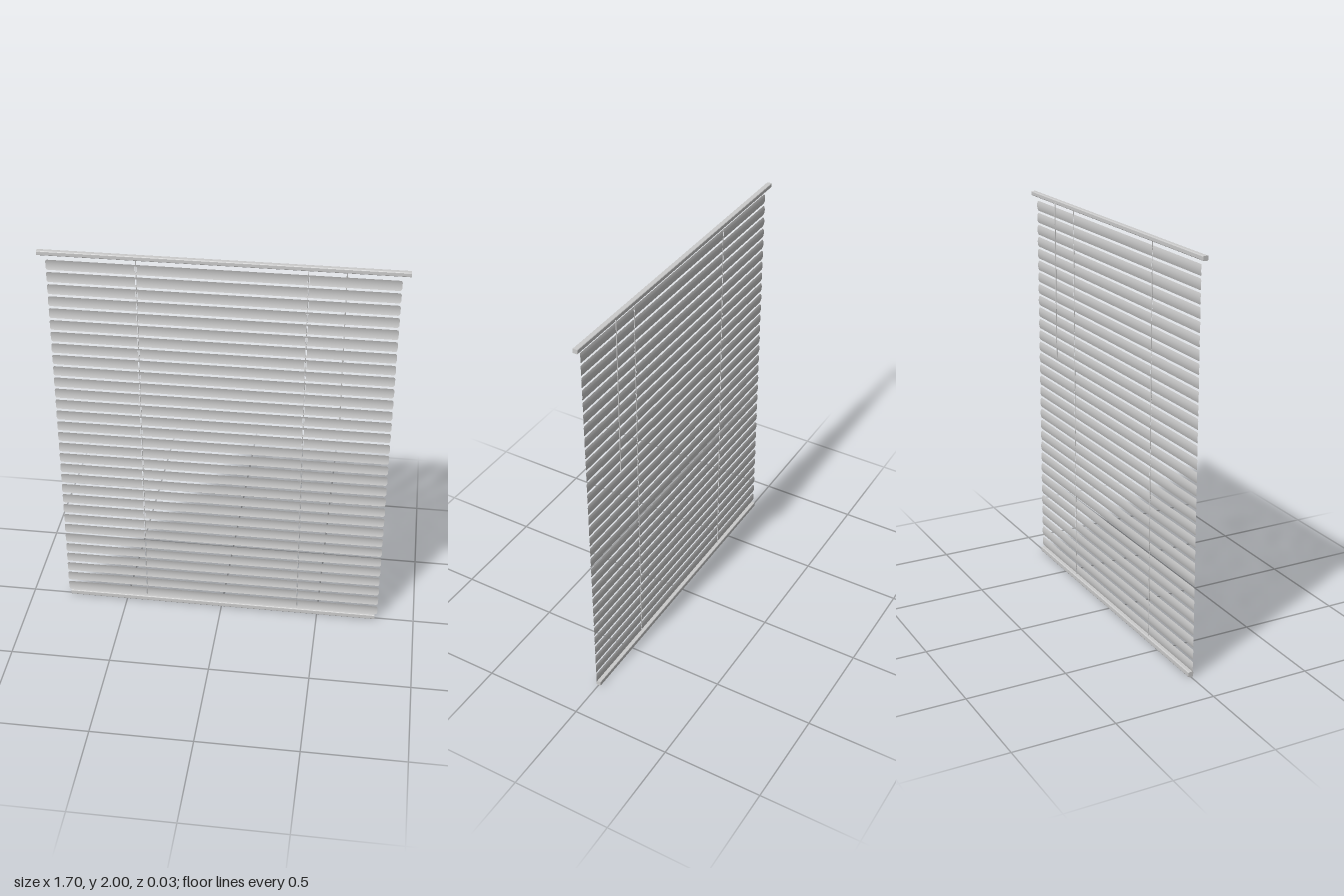
import * as THREE from 'three';

const material = new THREE.MeshStandardMaterial({ color: 0xcccccc });
const thin = new THREE.MeshStandardMaterial({ color: 0xcccccc, side: THREE.DoubleSide });

const SLATS = 31, PITCH = 0.0625, FIRST_Y = 0.055;
const HALF_W = 0.813, HALF_H = 0.0255, CORNER = 0.01, BOW = 0.004;
const CORD_X = 0.394, SLOT = 0.004;

// Curved thin strip with rounded corners and two cord slots
function slatGeometry() {
  const ends = [0, 0.08, 0.3, 0.6, 1].map(t => HALF_W - CORNER * (1 - t));
  const right = [CORD_X - SLOT, CORD_X + SLOT, ...ends];
  const xs = [...right.map(x => -x).reverse(), ...right];
  const rows = 10, pos = [], normal = [], index = [];
  for (const x of xs) {
    const e = Math.max(0, (Math.abs(x) - HALF_W + CORNER) / CORNER);
    const h = HALF_H - CORNER * (1 - Math.sqrt(Math.max(0, 1 - e * e)));
    for (let j = 0; j <= rows; j++) {
      const y = (j / rows * 2 - 1) * h;
      const s = y / HALF_H;
      pos.push(x, y, 0.001 + BOW * s * s);
      const n = new THREE.Vector3(0, -2 * BOW * s / HALF_H, 1).normalize();
      normal.push(n.x, n.y, n.z);
    }
  }
  for (let i = 0; i < xs.length - 1; i++) {
    const slotColumn = Math.abs(Math.abs((xs[i] + xs[i + 1]) / 2) - CORD_X) < 0.001;
    for (let j = 0; j < rows; j++) {
      if (slotColumn && j >= 2 && j < rows - 2) continue;
      const a = i * (rows + 1) + j, b = a + rows + 1;
      index.push(a, b, b + 1, a, b + 1, a + 1);
    }
  }
  const g = new THREE.BufferGeometry();
  g.setAttribute('position', new THREE.Float32BufferAttribute(pos, 3));
  g.setAttribute('normal', new THREE.Float32BufferAttribute(normal, 3));
  g.setIndex(index);
  return g;
}

// Long rail with a softly rounded cross-section, running along x
function rail(name, length, y0, y1, depth) {
  const d = depth / 2, r = 0.005, s = new THREE.Shape();
  s.moveTo(-d + r, y0);
  s.lineTo(d - r, y0);
  s.quadraticCurveTo(d, y0, d, y0 + r);
  s.lineTo(d, y1 - r);
  s.quadraticCurveTo(d, y1, d - r, y1);
  s.lineTo(-d + r, y1);
  s.quadraticCurveTo(-d, y1, -d, y1 - r);
  s.lineTo(-d, y0 + r);
  s.quadraticCurveTo(-d, y0, -d + r, y0);
  const g = new THREE.ExtrudeGeometry(s, { depth: length, bevelEnabled: false, curveSegments: 4 });
  g.translate(0, 0, -length / 2).rotateY(Math.PI / 2);
  const m = new THREE.Mesh(g, material);
  m.name = name;
  return m;
}

export function createModel() {
  const model = new THREE.Group();
  model.name = 'windowBlind';

  model.add(rail('headRail', 1.7, 1.978, 2, 0.025));
  model.add(rail('bottomRail', 1.6, 0, 0.026, 0.025));

  // Slats
  const slats = new THREE.Group();
  slats.name = 'slats';
  const geometry = slatGeometry();
  for (let i = 0; i < SLATS; i++) {
    const slat = new THREE.Mesh(geometry, thin);
    slat.name = 'slat';
    slat.position.y = FIRST_Y + i * PITCH;
    slats.add(slat);
  }
  model.add(slats);

  // Lift cords threaded through the slots
  for (const side of [-1, 1]) {
    const cord = new THREE.Mesh(new THREE.CylinderGeometry(0.0018, 0.0018, 1.965, 8), material);
    cord.name = side > 0 ? 'leftCord' : 'rightCord';
    cord.position.set(side * (CORD_X - 0.001), 1.0, 0.002);
    model.add(cord);
  }

  // Tilt wand hanging behind the slats from a small hook
  const path = new THREE.CurvePath();
  const at = (y, z) => new THREE.Vector3(0.565, y, z);
  path.add(new THREE.QuadraticBezierCurve3(at(1.988, -0.008), at(1.988, -0.016), at(1.975, -0.016)));
  path.add(new THREE.LineCurve3(at(1.975, -0.016), at(1.2, -0.016)));
  const hook = new THREE.Mesh(new THREE.TubeGeometry(path.curves[0], 8, 0.0025, 8), material);
  hook.name = 'wandHook';
  const wand = new THREE.Mesh(new THREE.TubeGeometry(path.curves[1], 1, 0.0025, 8), material);
  wand.name = 'wand';
  const tip = new THREE.Mesh(new THREE.CylinderGeometry(0.0025, 0.0038, 0.016, 10), material);
  tip.name = 'wandTip';
  tip.position.set(0.565, 1.193, -0.016);
  model.add(hook, wand, tip);

  return model;
}
